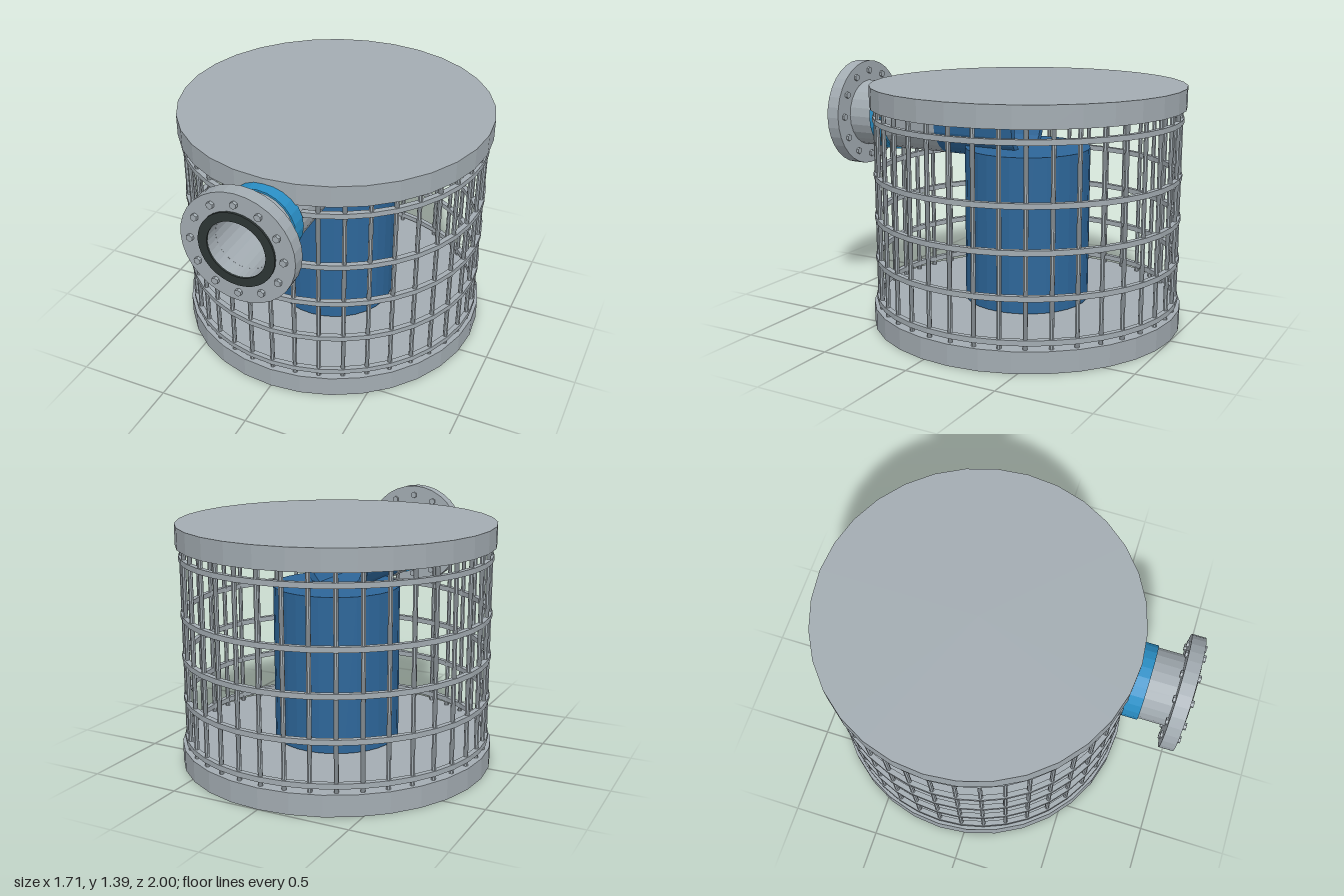
import * as THREE from 'three';

const CAGE_Z = -0.147;  // cage and pump axis
const PIPE_Y = 1.085;   // outlet pipe axis

function flat(name, color) {
  const m = new THREE.MeshStandardMaterial({ color, flatShading: true });
  m.name = name;
  return m;
}

// Closed ring with a rectangular section, standing on the y axis
function ringGeometry(inner, outer, y0, y1, sides) {
  const section = [[inner, y0], [outer, y0], [outer, y1], [inner, y1], [inner, y0]];
  return new THREE.LatheGeometry(section.map(([r, y]) => new THREE.Vector2(r, y)), sides);
}

export function createModel() {
  const steel = flat('steel grey', 0xa3acb2);
  const pumpBlue = flat('pump blue', 0x2d6699);
  const couplingBlue = flat('coupling blue', 0x2a8fc6);
  const rubber = flat('dark rubber', 0x2d3534);

  const model = new THREE.Group();
  model.name = 'cagedPump';
  const add = (parent, name, geometry, material) => {
    const mesh = new THREE.Mesh(geometry, material);
    mesh.name = name;
    parent.add(mesh);
    return mesh;
  };

  // Cage: base, lid, upright bars and hoops
  const cage = new THREE.Group();
  cage.name = 'cage';
  cage.position.z = CAGE_Z;
  model.add(cage);
  const plate = new THREE.CylinderGeometry(0.853, 0.853, 0.115, 32);
  add(cage, 'basePlate', plate, steel).position.y = 0.0575;
  add(cage, 'lidPlate', plate, steel).position.y = 1.2575;

  const bar = new THREE.CylinderGeometry(0.0125, 0.0125, 1.1, 8, 1, true);
  for (let i = 0; i < 40; i++) {
    const a = (i / 40) * Math.PI * 2;
    add(cage, 'bar', bar, steel).position.set(Math.sin(a) * 0.82, 0.657, Math.cos(a) * 0.82);
  }
  const hoop = ringGeometry(0.81, 0.838, -0.014, 0.014, 40);
  for (const y of [0.152, 0.376, 0.604, 0.833, 1.137]) add(cage, 'hoop', hoop, steel).position.y = y;

  // Pump body
  add(cage, 'pumpBody', new THREE.CylinderGeometry(0.342, 0.342, 0.845, 32), pumpBlue).position.y = 0.5475;

  // Outlet: hollow parts along z, given by radii and z range
  const outlet = new THREE.Group();
  outlet.name = 'outlet';
  outlet.position.y = PIPE_Y;
  model.add(outlet);
  const tube = (name, inner, outer, z0, z1, sides, material) =>
    add(outlet, name, ringGeometry(inner, outer, z0, z1, sides).rotateX(Math.PI / 2), material);
  tube('pumpOutlet', 0.155, 0.19, -0.147, 0.34, 24, pumpBlue);
  tube('pipe', 0.155, 0.19, 0.34, 0.91, 24, steel);
  tube('coupling', 0.185, 0.2, 0.68, 0.765, 24, couplingBlue);
  tube('flange', 0.155, 0.303, 0.908, 0.983, 32, steel);
  tube('gasket', 0.155, 0.203, 0.983, 0.994, 32, rubber);

  // Twelve hexagonal bolts through the flange
  const bolt = new THREE.CylinderGeometry(0.019, 0.019, 0.105, 6).rotateX(Math.PI / 2);
  for (let i = 0; i < 12; i++) {
    const a = (i / 12) * Math.PI * 2;
    add(outlet, 'bolt', bolt, steel).position.set(Math.sin(a) * 0.247, Math.cos(a) * 0.247, 0.9475);
  }
  return model;
}
